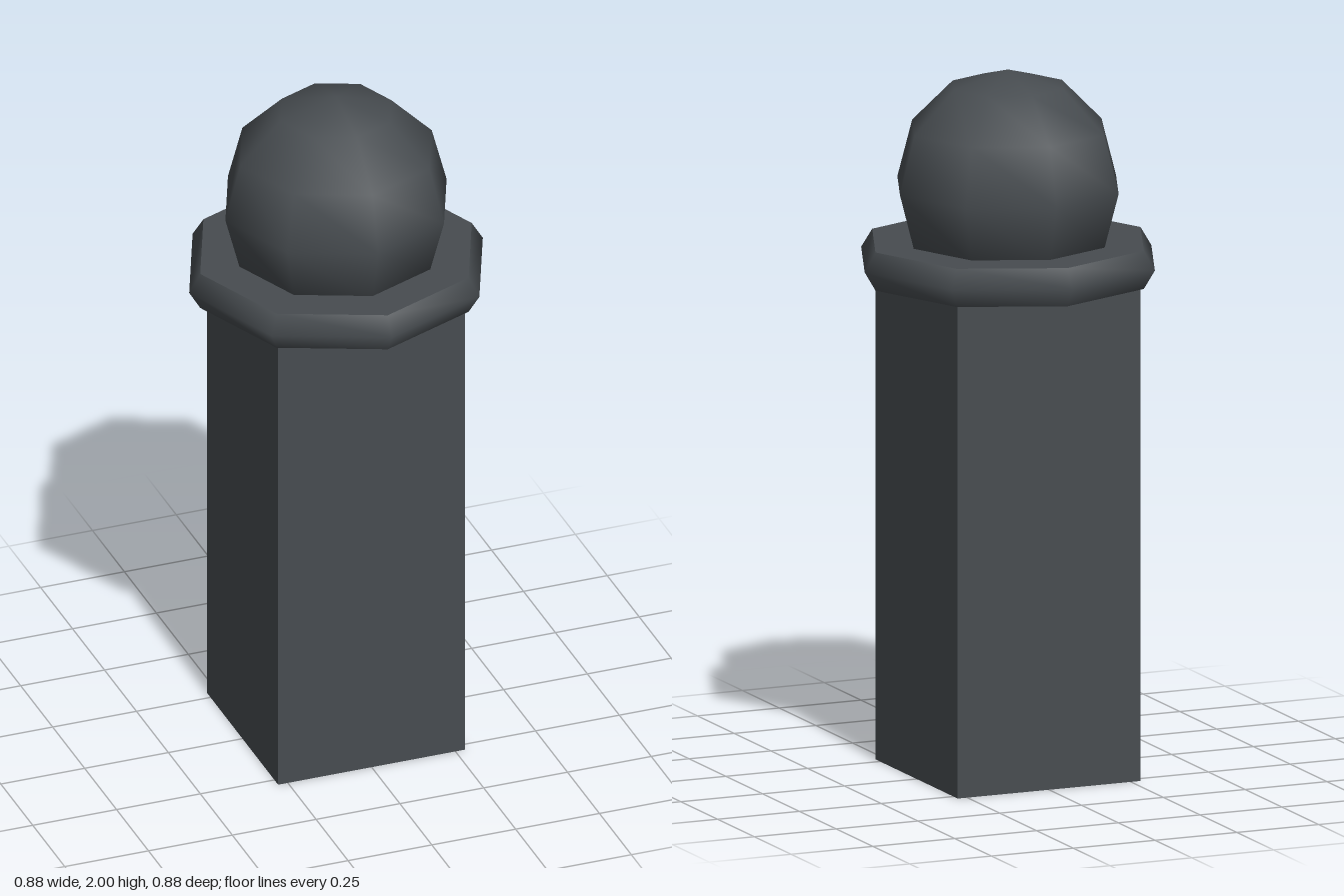
import * as THREE from 'three';

export function createModel() {
  const model = new THREE.Group();
  const iron = new THREE.MeshStandardMaterial({ color: 0x474c50, side: THREE.DoubleSide });
  iron.name = 'dark iron';

  const add = (name, geometry, parent = model) => {
    const mesh = new THREE.Mesh(geometry, iron);
    mesh.name = name;
    parent.add(mesh);
    return mesh;
  };
  const lathe = (points) =>
    new THREE.LatheGeometry(points.map(([r, y]) => new THREE.Vector2(r, y)), 8);

  // Square hollow post, open at the bottom
  const half = 0.279, postTop = 1.405;
  const post = new THREE.Group();
  post.name = 'post';
  model.add(post);
  for (let i = 0; i < 4; i++) {
    const side = new THREE.PlaneGeometry(half * 2, postTop);
    side.translate(0, postTop / 2, half);
    side.rotateY(i * Math.PI / 2);
    add('postSide', side, post);
  }

  // Eight-sided collar: smooth pointed rim between flat faces
  const collar = new THREE.Group();
  collar.name = 'collar';
  model.add(collar);
  add('collarRim', lathe([[0.405, 1.405], [0.438, 1.46], [0.405, 1.514]]), collar);
  add('collarTop', lathe([[0.405, 1.514], [0, 1.514]]), collar);
  add('collarUnderside', lathe([[0, 1.405], [0.405, 1.405]]), collar);

  // Low-poly ball, its base sunk into the collar
  const ball = add('ball', new THREE.SphereGeometry(0.33, 8, 4, 0, Math.PI * 2, 0, Math.PI * 2 / 3));
  ball.position.y = 1.67;

  return model;
}
